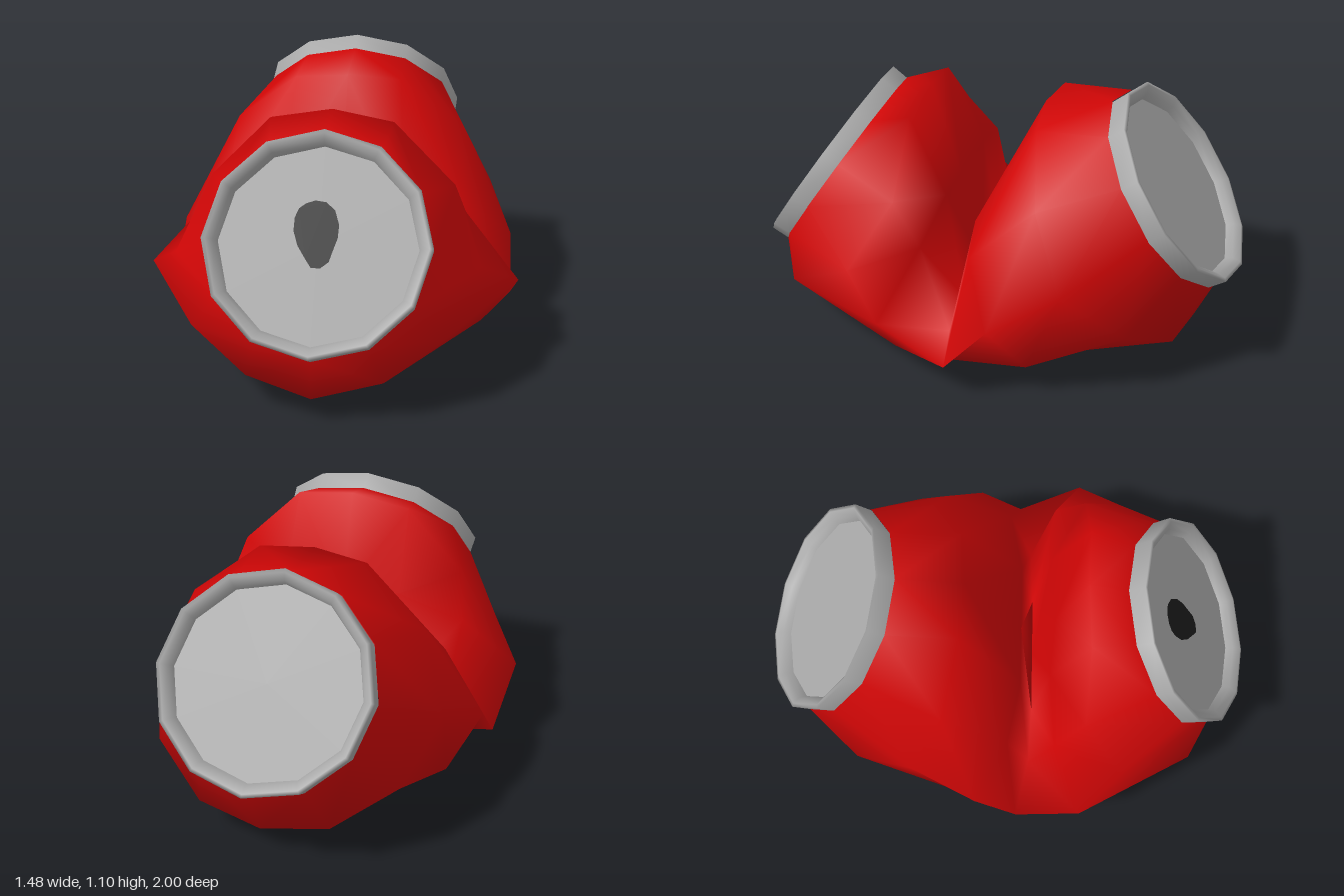
import * as THREE from 'three';

// Crumpled drink can: a folded body between two tilted metal ends.
const red = new THREE.MeshStandardMaterial({ color: 0xd00606 });
red.name = 'red paint';
const grey = new THREE.MeshStandardMaterial({ color: 0xa8a8a8 });
grey.name = 'bare metal';
const black = new THREE.MeshStandardMaterial({ color: 0x1c1c1c });
black.name = 'dark opening';

const SIDES = 12;
const RADIUS = 0.425;

function mesh(name, geometry, material) {
  const m = new THREE.Mesh(geometry, material);
  m.name = name;
  return m;
}

// Half of a round section (top to bottom) where the body meets a rim.
// (upY, upZ) points from the centre to the top of the ring.
function roundHalf(y, z, upY, upZ) {
  return Array.from({ length: 7 }, (_, i) => {
    const a = (i * Math.PI) / 6;
    const c = Math.cos(a) * RADIUS;
    return [Math.sin(a) * RADIUS, y + upY * c, z + upZ * c];
  });
}

// Body: mirrored half sections, from the front rim to the back rim.
function bodyGeometry() {
  const halves = [
    roundHalf(0.625, 0.7, 0.835, -0.553),
    // front shoulder
    [[0, 1.03, 0.31], [0.24, 0.99, 0.32], [0.48, 0.74, 0.31], [0.6, 0.47, 0.47],
      [0.48, 0.3, 0.76], [0.26, 0.15, 0.85], [0, 0.11, 0.93]],
    // front flare
    [[0, 0.63, 0.19], [0.25, 0.67, 0.17], [0.52, 0.58, 0.19], [0.74, 0.345, 0.3],
      [0.6, 0.15, 0.28], [0.37, 0.065, 0.42], [0, 0.02, 0.44]],
    // fold
    [[0, 0.2, 0.1], [0.25, 0.19, 0.1], [0.48, 0.18, 0.09], [0.71, 0.17, 0.04],
      [0.62, 0.145, 0.05], [0.37, 0.06, 0.05], [0, 0.005, 0]],
    // back flare
    [[0, 0.53, 0.05], [0.25, 0.57, 0.05], [0.5, 0.55, 0.0], [0.7, 0.36, -0.13],
      [0.59, 0.15, -0.26], [0.37, 0.065, -0.29], [0, 0.025, -0.33]],
    // back shoulder
    [[0, 1.02, -0.17], [0.22, 1.0, -0.19], [0.48, 0.79, -0.26], [0.6, 0.5, -0.39],
      [0.5, 0.3, -0.63], [0.27, 0.16, -0.78], [0, 0.12, -0.82]],
    roundHalf(0.71, -0.685, 0.815, 0.58),
  ];
  const positions = [];
  const index = [];
  for (const half of halves) {
    const mirrored = half.slice(1, -1).reverse().map(([x, y, z]) => [-x, y, z]);
    positions.push(...half.flat(), ...mirrored.flat());
  }
  for (let i = 0; i < halves.length - 1; i++) {
    for (let j = 0; j < SIDES; j++) {
      const a = i * SIDES + j;
      const b = i * SIDES + ((j + 1) % SIDES);
      const c = a + SIDES;
      const d = b + SIDES;
      // mirror the diagonals between the two sides
      if (j < SIDES / 2) index.push(a, b, c, b, d, c);
      else index.push(a, b, d, a, d, c);
    }
  }
  const g = new THREE.BufferGeometry();
  g.setAttribute('position', new THREE.Float32BufferAttribute(positions, 3));
  g.setIndex(index);
  g.computeVertexNormals();
  return g;
}

// End: a raised rim around a sunken disc, with +y pointing outward.
function canEnd(name, y, z, tilt) {
  const end = new THREE.Group();
  end.name = name;
  const profile = [[0.425, -0.08], [0.43, -0.002], [0.415, 0], [0.387, -0.02], [0.374, -0.052]]
    .map(([r, h]) => new THREE.Vector2(r, h));
  const rim = mesh('rim', new THREE.LatheGeometry(profile, SIDES), grey);
  const disc = mesh('disc', new THREE.CircleGeometry(0.376, SIDES).rotateX(-Math.PI / 2), grey);
  disc.position.y = -0.05;
  end.add(rim, disc);
  end.position.set(0, y, z);
  end.rotation.x = tilt;
  return end;
}

// Drinking opening: a thin dark patch on the front disc.
function openingMesh() {
  const points = [[-0.055, 0.155], [-0.02, 0.168], [0.02, 0.163], [0.055, 0.135], [0.074, 0.08],
    [0.072, 0.03], [0.055, -0.025], [0.045, -0.06], [0.015, -0.085], [-0.02, -0.085],
    [-0.045, -0.05], [-0.075, -0.005], [-0.094, 0.05], [-0.093, 0.1], [-0.08, 0.135]]
    .map(([x, y]) => new THREE.Vector2(x, y));
  const g = new THREE.ShapeGeometry(new THREE.Shape(points)).rotateX(-Math.PI / 2);
  const opening = mesh('opening', g, black);
  opening.position.y = -0.046;
  return opening;
}

export function createModel() {
  const model = new THREE.Group();
  model.name = 'crushedCan';
  const front = canEnd('frontEnd', 0.665, 0.765, 0.986);
  front.add(openingMesh());
  const back = canEnd('backEnd', 0.752, -0.75, -0.95);
  model.add(mesh('body', bodyGeometry(), red), front, back);
  return model;
}
